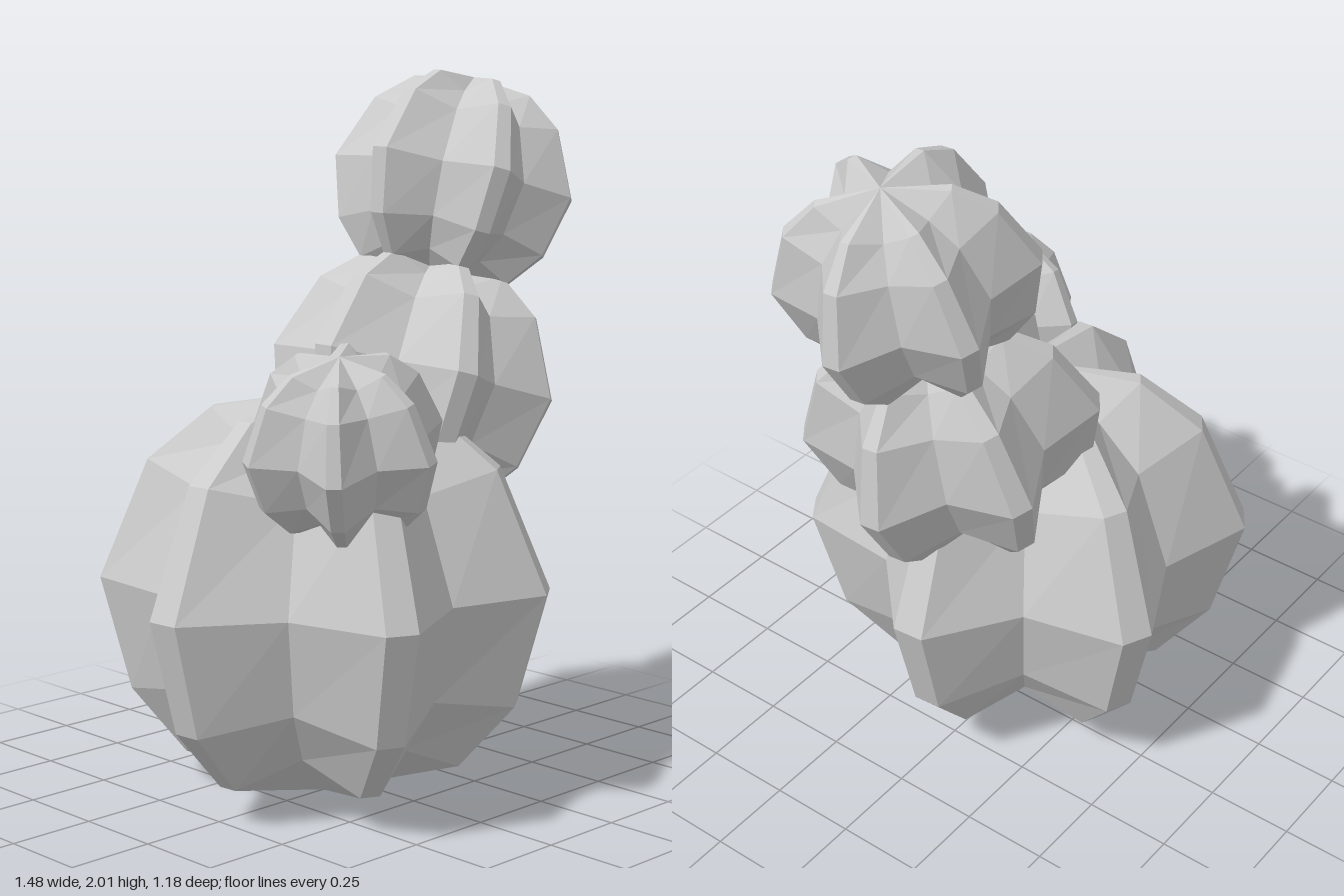
import * as THREE from 'three';

// Rib profile from bottom to top: [radius, height from the widest ring]
const PROFILE = [[0.39, -0.5], [0.545, -0.32], [0.63, 0], [0.49, 0.34], [0.31, 0.49]];
const BOTTOM = -0.6, TOP = 0.54;
const RIBS = 6, RIB_HALF_ANGLE = 0.072;
const VALLEY_R = 0.73, VALLEY_Y = 0.85;

// Ribbed pod: each rib has a narrow flat crest, with a single crease between ribs
function podGeometry() {
  const pos = [], index = [], n = RIBS * 3;
  for (const [r, y] of PROFILE) {
    for (let k = 0; k < RIBS; k++) {
      const a = (k * 2 * Math.PI) / RIBS;
      const add = (ang, rad, h) => pos.push(rad * Math.cos(ang), h, rad * Math.sin(ang));
      add(a - RIB_HALF_ANGLE, r, y);
      add(a + RIB_HALF_ANGLE, r, y);
      add(a + Math.PI / RIBS, r * VALLEY_R, y * VALLEY_Y);
    }
  }
  const bottom = PROFILE.length * n, top = bottom + 1;
  pos.push(0, BOTTOM, 0, 0, TOP, 0);
  const last = (PROFILE.length - 1) * n;
  for (let j = 0; j < n; j++) {
    const k = (j + 1) % n;
    index.push(bottom, j, k, last + j, top, last + k);
    for (let i = 0; i < last; i += n) {
      index.push(i + j, i + n + j, i + k, i + k, i + n + j, i + n + k);
    }
  }
  const g = new THREE.BufferGeometry();
  g.setAttribute('position', new THREE.Float32BufferAttribute(pos, 3));
  g.setIndex(index);
  const flat = g.toNonIndexed();
  flat.computeVertexNormals();
  return flat;
}

export function createModel() {
  const group = new THREE.Group();
  group.name = 'cactus';
  const material = new THREE.MeshStandardMaterial({ color: 0xcccccc, flatShading: true });
  const geometry = podGeometry();
  const up = new THREE.Vector3(0, 1, 0);

  // centre of the widest ring, maximum radius, axis direction, angle of the first rib
  const pods = [
    ['basePod', [-0.11, 0.6, 0], 0.63, [0, 1, 0], 55],
    ['middlePod', [0.245, 1.155, 0], 0.405, [0.29, 0.956, 0], 55],
    ['topPod', [0.41, 1.7, 0], 0.345, [0.29, 0.956, 0], 55],
    ['sidePod', [-0.335, 1.065, 0.315], 0.277, [-0.055, 0.23, 0.04], 20],
  ];
  for (const [name, centre, radius, axis, phase] of pods) {
    const mesh = new THREE.Mesh(geometry, material);
    mesh.name = name;
    mesh.position.set(...centre);
    mesh.scale.setScalar(radius / 0.63);
    const spin = new THREE.Quaternion().setFromAxisAngle(up, -THREE.MathUtils.degToRad(phase));
    mesh.quaternion.setFromUnitVectors(up, new THREE.Vector3(...axis).normalize()).multiply(spin);
    group.add(mesh);
  }
  return group;
}
